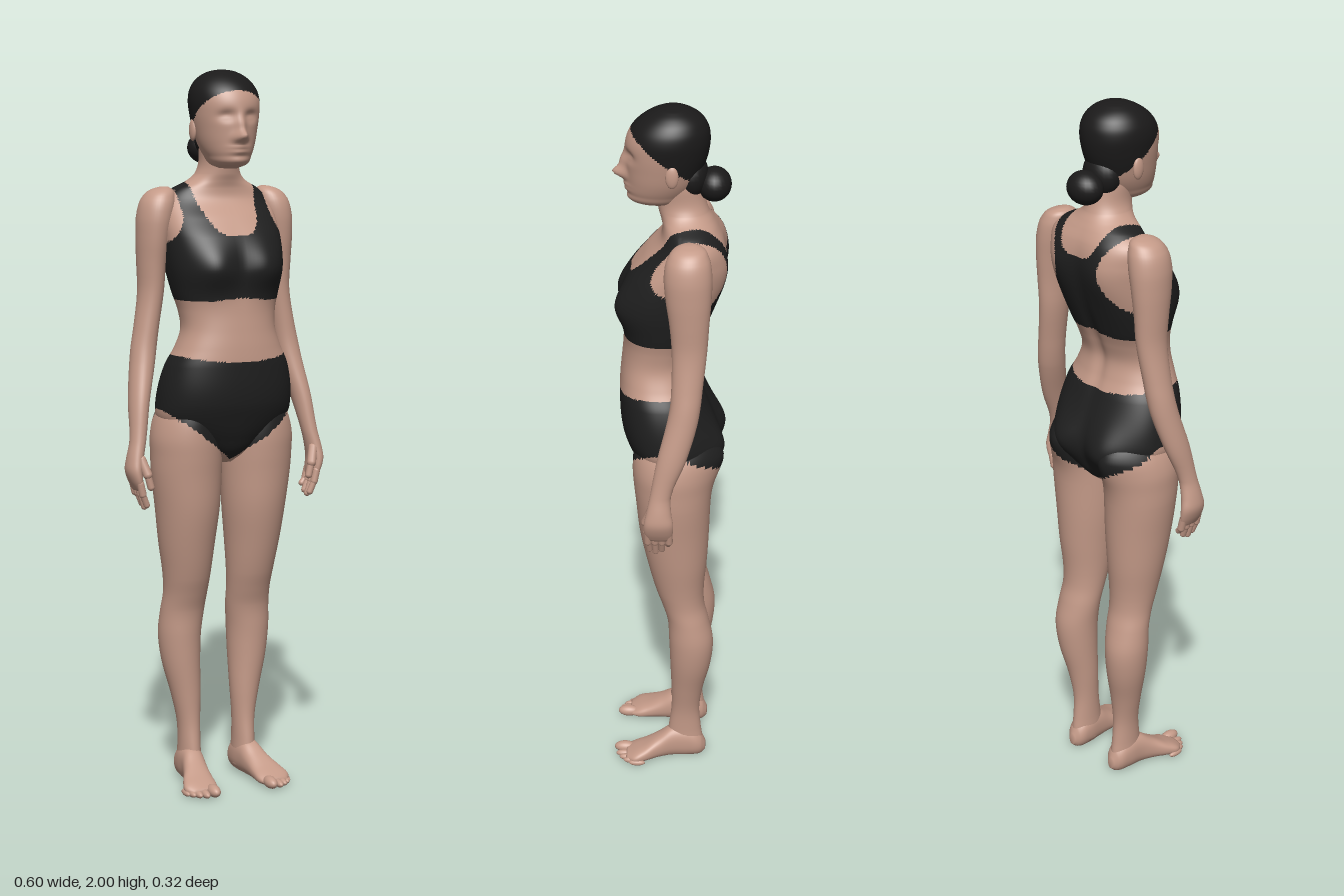
import * as THREE from 'three';

const skin = new THREE.MeshStandardMaterial({ color: 0xc49a88 });
skin.name = 'skin';
const cloth = new THREE.MeshStandardMaterial({ color: 0x1f1f1f });
cloth.name = 'black cloth';
const hair = new THREE.MeshStandardMaterial({ color: 0x1b1a1a });
hair.name = 'dark hair';

const gauss = (d, s) => Math.exp(-(d * d) / (2 * s * s));
const spow = (v, e) => Math.sign(v) * Math.pow(Math.abs(v), e);

// Loft through rows [t, centreX, front, back, halfWidth, squareness].
// With `lying`, t runs along z and front/back become top/bottom.
function loft(name, rows, o = {}) {
  const { sub = 5, seg = 48, side = 1, lying = false, bump, paint, second = cloth } = o;
  const full = rows.map(r => (r.length < 6 ? [...r, 2] : r));
  const curve = new THREE.CubicInterpolant(full.map(r => r[0]), full.flatMap(r => r.slice(1)), 5);
  const ts = [];
  for (let i = 0; i < full.length - 1; i++)
    for (let k = 0; k < sub; k++) ts.push(THREE.MathUtils.lerp(full[i][0], full[i + 1][0], k / sub));
  ts.push(full[full.length - 1][0]);

  const pts = [];
  const add = (x, t, d) => {
    const p = lying ? new THREE.Vector3(side * x, d, t) : new THREE.Vector3(side * x, t, d);
    if (bump) bump(p);
    pts.push(p);
  };
  const mids = [];
  for (const t of ts) {
    const [cx, f, b, w, n] = curve.evaluate(t);
    mids.push([cx, t, (f + b) / 2]);
    for (let j = 0; j < seg; j++) {
      const a = (j / seg) * Math.PI * 2;
      add(cx + w * spow(Math.cos(a), 2 / n), t, (f + b) / 2 + ((f - b) / 2) * spow(Math.sin(a), 2 / n));
    }
  }
  add(...mids[0]);
  add(...mids[mids.length - 1]);

  const lists = [[], []];
  const flip = (side < 0) !== lying;
  const tri = (a, b, c) => {
    const mid = pts[a].clone().add(pts[b]).add(pts[c]).divideScalar(3);
    lists[paint && paint(mid) ? 1 : 0].push(a, flip ? c : b, flip ? b : c);
  };
  const last = (ts.length - 1) * seg, pole = ts.length * seg;
  for (let j = 0; j < seg; j++) {
    const k = (j + 1) % seg;
    for (let i = 0; i < last; i += seg) {
      tri(i + j, i + seg + j, i + k);
      tri(i + k, i + seg + j, i + seg + k);
    }
    tri(pole, j, k);
    tri(pole + 1, last + k, last + j);
  }
  const g = new THREE.BufferGeometry().setFromPoints(pts);
  g.setIndex([...lists[0], ...lists[1]]);
  g.addGroup(0, lists[0].length, 0);
  if (lists[1].length) g.addGroup(lists[0].length, lists[1].length, 1);
  g.computeVertexNormals();
  const mesh = new THREE.Mesh(g, [skin, second]);
  mesh.name = name;
  return mesh;
}

function ball(name, mat, pos, size) {
  const m = new THREE.Mesh(new THREE.SphereGeometry(1, 24, 16), mat);
  m.position.set(...pos);
  m.scale.set(...size);
  m.name = name;
  return m;
}

function capsule(name, a, b, r) {
  const from = new THREE.Vector3(...a), to = new THREE.Vector3(...b);
  const dir = to.clone().sub(from);
  const m = new THREE.Mesh(new THREE.CapsuleGeometry(r, dir.length(), 6, 12), skin);
  m.position.copy(from).add(to).multiplyScalar(0.5);
  m.quaternion.setFromUnitVectors(new THREE.Vector3(0, 1, 0), dir.normalize());
  m.name = name;
  return m;
}

// Sports top and briefs, chosen by position on the body
function wearsCloth(p) {
  const a = Math.abs(p.x), y = p.y;
  const w = THREE.MathUtils.smoothstep(p.z, -0.09, -0.02);
  if (y > 1.3) {
    const neckline = THREE.MathUtils.lerp(1.61 + 0.1 * (a / 0.085) ** 4, 1.555 + 0.13 * (a / 0.095) ** 4, w);
    const front = 0.13 + 0.05 * THREE.MathUtils.smoothstep(-y, -1.62, -1.49);
    const armhole = THREE.MathUtils.lerp(0.08 + 5 * (y - 1.58) ** 2, front, w);
    return y > 1.38 + 0.008 * gauss(a, 0.04) && y < neckline && (a < armhole || y < 1.46);
  }
  const waist = 1.215 + 0.6 * a * a;
  return y < waist && y > 0.935 + a * THREE.MathUtils.lerp(0.6, 0.75, w);
}

// Bust, shoulder blades, spine furrow and buttocks
function bodyShape(p) {
  const a = Math.abs(p.x), y = p.y;
  if (p.z > 0) p.z += 0.026 * gauss(a - 0.08, 0.045) * gauss(y - 1.47, 0.045);
  if (p.z < -0.03) {
    p.z -= 0.036 * gauss(a - 0.085, 0.05) * gauss(y - 1.045, 0.055);
    p.z -= 0.014 * gauss(a - 0.085, 0.04) * gauss(y - 1.57, 0.06);
    p.z += 0.01 * gauss(a, 0.015) * gauss(y - 1.33, 0.12);
  }
}

// Nose, brow, eye sockets, lips and chin
function faceShape(p) {
  if (p.z < 0.03) return;
  const a = Math.abs(p.x), y = p.y;
  p.z += 0.03 * gauss(a, 0.011) * gauss(y - 1.82, 0.011)
    + 0.016 * gauss(a, 0.01) * gauss(y - 1.847, 0.02)
    + 0.006 * gauss(a - 0.015, 0.008) * gauss(y - 1.815, 0.008)
    - 0.013 * gauss(a - 0.035, 0.016) * gauss(y - 1.874, 0.01)
    + 0.004 * gauss(a - 0.035, 0.01) * gauss(y - 1.87, 0.005)
    + 0.008 * gauss(a, 0.018) * (gauss(y - 1.792, 0.005) + gauss(y - 1.779, 0.005))
    + 0.005 * gauss(a, 0.02) * gauss(y - 1.755, 0.01);
}

export function createModel() {
  const model = new THREE.Group();
  model.name = 'standing woman';

  model.add(loft('torso and neck', [
    [0.925, 0, 0.03, -0.06, 0.03], [0.95, 0, 0.065, -0.09, 0.07], [1.0, 0, 0.095, -0.112, 0.15],
    [1.05, 0, 0.115, -0.124, 0.188, 2.2], [1.1, 0, 0.13, -0.122, 0.193, 2.3], [1.2, 0, 0.137, -0.095, 0.175, 2.3],
    [1.25, 0, 0.135, -0.075, 0.15, 2.3], [1.3, 0, 0.13, -0.066, 0.133, 2.3], [1.35, 0, 0.125, -0.08, 0.136, 2.3],
    [1.4, 0, 0.122, -0.1, 0.148, 2.4], [1.47, 0, 0.125, -0.124, 0.161, 2.5], [1.55, 0, 0.105, -0.143, 0.166, 2.5],
    [1.6, 0, 0.068, -0.147, 0.166, 2.4], [1.65, 0, 0.025, -0.14, 0.156, 2.2], [1.68, 0, 0.02, -0.126, 0.125],
    [1.7, 0, 0.024, -0.114, 0.085], [1.72, 0, 0.03, -0.102, 0.063], [1.8, 0, 0.04, -0.082, 0.055],
  ], { sub: 10, seg: 120, bump: bodyShape, paint: wearsCloth }));

  // Head with swept-back hair and a low bun
  model.add(loft('head', [
    [1.735, 0, 0.07, -0.01, 0.022], [1.745, 0, 0.098, -0.03, 0.045], [1.77, 0, 0.109, -0.052, 0.062],
    [1.8, 0, 0.112, -0.072, 0.075], [1.84, 0, 0.114, -0.088, 0.085], [1.88, 0, 0.117, -0.1, 0.092],
    [1.92, 0, 0.112, -0.104, 0.095], [1.95, 0, 0.096, -0.098, 0.088], [1.975, 0, 0.068, -0.08, 0.07],
    [1.99, 0, 0.04, -0.055, 0.048], [1.997, 0, 0.02, -0.035, 0.028], [2.0, 0, 0.0, -0.015, 0.008],
  ], { sub: 8, seg: 96, bump: faceShape, paint: p => p.y > 1.86 + 0.8 * p.z, second: hair }));
  model.add(ball('hair bun', hair, [0, 1.79, -0.115], [0.053, 0.045, 0.045]));
  model.add(ball('nape hair', hair, [0, 1.815, -0.055], [0.058, 0.06, 0.045]));

  for (const side of [1, -1]) {
    const word = side > 0 ? 'left ' : 'right ';
    model.add(ball(word + 'ear', skin, [side * 0.086, 1.838, -0.008], [0.009, 0.03, 0.017]));

    model.add(loft(word + 'leg', [
      [0.02, 0.085, 0, -0.098, 0.03], [0.06, 0.085, 0.004, -0.1, 0.031], [0.1, 0.085, 0, -0.095, 0.03],
      [0.17, 0.086, -0.008, -0.09, 0.032], [0.25, 0.092, -0.008, -0.1, 0.042], [0.35, 0.103, -0.005, -0.122, 0.055],
      [0.43, 0.106, -0.002, -0.128, 0.061], [0.5, 0.101, 0.003, -0.114, 0.063], [0.55, 0.098, 0.018, -0.102, 0.063],
      [0.6, 0.098, 0.035, -0.1, 0.067], [0.7, 0.101, 0.06, -0.108, 0.079], [0.8, 0.102, 0.08, -0.113, 0.09],
      [0.9, 0.106, 0.09, -0.116, 0.098], [0.95, 0.107, 0.095, -0.117, 0.099], [1.0, 0.108, 0.098, -0.118, 0.098],
      [1.05, 0.108, 0.095, -0.115, 0.086], [1.12, 0.1, 0.08, -0.08, 0.06],
    ], { side, seg: 80, bump: bodyShape, paint: wearsCloth }));

    model.add(loft(word + 'foot', [
      [-0.109, 0.085, 0.045, 0.015, 0.01], [-0.095, 0.085, 0.075, 0.003, 0.026], [-0.06, 0.086, 0.1, 0, 0.034, 2.3],
      [-0.01, 0.09, 0.1, 0, 0.034, 2.3], [0.03, 0.098, 0.074, 0, 0.038, 2.3], [0.07, 0.108, 0.05, 0, 0.046, 2.4],
      [0.1, 0.112, 0.036, 0, 0.048, 2.4], [0.125, 0.108, 0.024, 0.004, 0.034],
    ], { side, lying: true, seg: 40 }));
    [[0.088, 0.13, 0.017, 0.032], [0.113, 0.128, 0.011, 0.028], [0.13, 0.118, 0.0105, 0.027],
      [0.144, 0.106, 0.01, 0.026], [0.155, 0.092, 0.009, 0.024]].forEach(([x, z, r, l]) =>
      model.add(ball(word + 'toe', skin, [side * x, r, z], [r, r, l])));

    // Arm from rounded shoulder down to the palm
    model.add(loft(word + 'arm', [
      [0.865, 0.266, 0.052, -0.014, 0.01], [0.89, 0.272, 0.059, -0.019, 0.017], [0.92, 0.277, 0.059, -0.02, 0.021],
      [0.95, 0.273, 0.053, -0.015, 0.022], [1.0, 0.262, 0.043, -0.014, 0.022], [1.1, 0.247, 0.025, -0.053, 0.028],
      [1.2, 0.226, 0, -0.082, 0.034], [1.25, 0.217, -0.009, -0.09, 0.035], [1.3, 0.208, -0.012, -0.095, 0.034],
      [1.4, 0.192, -0.012, -0.105, 0.035], [1.48, 0.19, -0.005, -0.11, 0.039], [1.55, 0.186, 0.005, -0.115, 0.045],
      [1.62, 0.177, 0.008, -0.115, 0.05], [1.66, 0.167, -0.004, -0.105, 0.043], [1.678, 0.158, -0.022, -0.09, 0.028],
      [1.685, 0.152, -0.04, -0.07, 0.01],
    ], { side, sub: 4, seg: 40 }));
    [[0.049, 0.825], [0.03, 0.818], [0.011, 0.825], [-0.008, 0.842]].forEach(([z, y]) => {
      model.add(capsule(word + 'finger', [side * 0.269, 0.885, z], [side * 0.262, 0.855, z], 0.0105));
      model.add(capsule(word + 'fingertip', [side * 0.262, 0.855, z], [side * 0.25, y, z * 0.9 + 0.002], 0.009));
    });
    model.add(capsule(word + 'thumb base', [side * 0.262, 0.95, 0.04], [side * 0.25, 0.91, 0.055], 0.013));
    model.add(capsule(word + 'thumb', [side * 0.25, 0.91, 0.055], [side * 0.241, 0.875, 0.056], 0.01));
  }
  return model;
}
